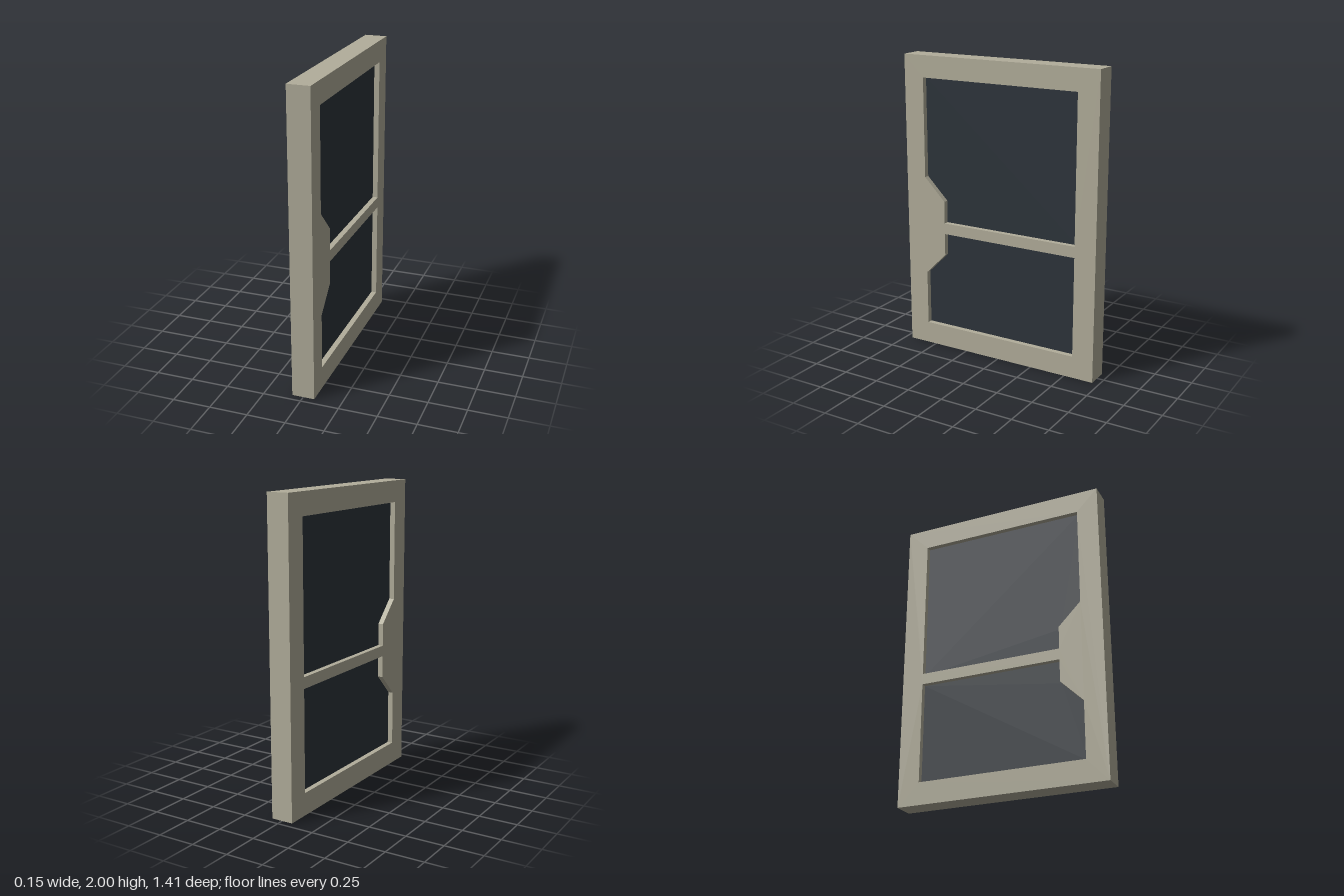
import * as THREE from 'three';

const THICKNESS = 0.147;
const GLASS_THICKNESS = 0.076;

// Outlines are drawn as [z, y] seen from the +x side
const outer = [[0.703, 0], [-0.703, 0], [-0.703, 2], [0.703, 2]];
const panes = {
  upperGlass: [[0.41, 0.89], [-0.557, 0.89], [-0.557, 1.855], [0.56, 1.855], [0.56, 1.19], [0.41, 1.04]],
  lowerGlass: [[0.56, 0.148], [-0.557, 0.148], [-0.557, 0.816], [0.41, 0.816], [0.41, 0.667], [0.56, 0.518]],
};

const toPoints = (outline) => outline.map(([z, y]) => new THREE.Vector2(-z, y));

// Extrude a shape along x, centred on x = 0
function slab(shape, depth) {
  const geometry = new THREE.ExtrudeGeometry(shape, { depth, bevelEnabled: false });
  geometry.translate(0, 0, -depth / 2);
  geometry.rotateY(Math.PI / 2);
  return geometry;
}

export function createModel() {
  const model = new THREE.Group();
  model.name = 'door';

  const frameMaterial = new THREE.MeshStandardMaterial({ color: 0xb2ae9b });
  frameMaterial.name = 'warm grey frame';
  const glassMaterial = new THREE.MeshStandardMaterial({ color: 0x2d343b });
  glassMaterial.name = 'dark glass';

  // Frame with the middle rail and lock block left between two openings
  const frameShape = new THREE.Shape(toPoints(outer));
  for (const outline of Object.values(panes)) frameShape.holes.push(new THREE.Path(toPoints(outline)));
  const frame = new THREE.Mesh(slab(frameShape, THICKNESS), frameMaterial);
  frame.name = 'doorFrame';
  model.add(frame);

  // Glass panes recessed on both sides
  for (const [name, outline] of Object.entries(panes)) {
    const pane = new THREE.Mesh(slab(new THREE.Shape(toPoints(outline)), GLASS_THICKNESS), glassMaterial);
    pane.name = name;
    model.add(pane);
  }
  return model;
}
